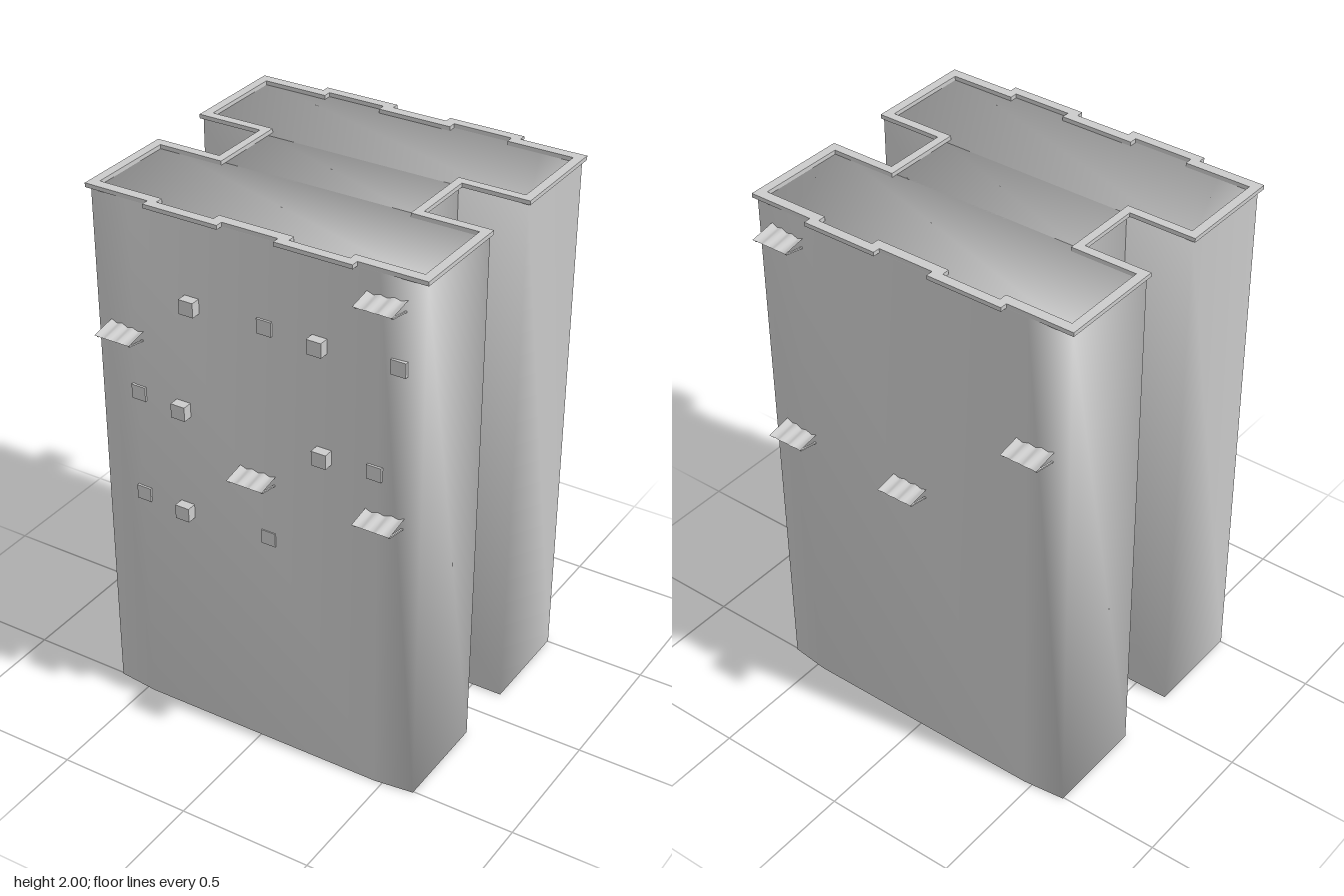
import * as THREE from 'three';
import { mergeVertices } from 'three/addons/utils/BufferGeometryUtils.js';

const ROOF = 1.985;

// Upright prism from an [x, z] plan
function prism(plan, y0, height, hole) {
  const pts = (p) => p.map(([x, z]) => new THREE.Vector2(x, -z));
  const shape = new THREE.Shape(pts(plan));
  if (hole) shape.holes.push(new THREE.Path(pts(hole)));
  const geo = new THREE.ExtrudeGeometry(shape, { depth: height, bevelEnabled: false });
  return geo.rotateX(-Math.PI / 2).translate(0, y0, 0);
}

// Share the corner vertices so shading flows round every edge
function softened(geo) {
  geo.deleteAttribute('normal');
  geo.deleteAttribute('uv');
  const merged = mergeVertices(geo, 1e-4);
  merged.computeVertexNormals();
  return merged;
}

// Slight inward lean of the +x side towards the ground
function lean(geo) {
  const p = geo.attributes.position;
  for (let i = 0; i < p.count; i++) {
    if (p.getX(i) > 0.6 && p.getY(i) < 0.1) p.setX(i, 0.615);
  }
  return geo;
}

// H-shaped outline with two shallow projections on each long side
function parapetPlan(w, end, bump, b0, b1, inner, neck) {
  const quarter = [[b0, end], [b0, bump], [b1, bump], [b1, end], [w, end], [w, inner], [neck, inner]];
  const flip = (sx, sz) => quarter.map(([x, z]) => [x * sx, z * sz]);
  return [
    ...flip(1, 1), ...flip(1, -1).reverse(),
    ...flip(-1, -1), ...flip(-1, 1).reverse(),
  ];
}

// Corrugated sheet sloping out from the wall, with two thin brackets
function makeAwning(mat, sheetMat) {
  const awning = new THREE.Group();
  const sheet = new THREE.PlaneGeometry(0.14, 0.09, 12, 1).rotateX(-Math.PI / 2);
  const p = sheet.attributes.position;
  for (let i = 0; i < p.count; i++) {
    const wave = Math.cos((p.getX(i) / 0.14 + 0.5) * Math.PI * 6);
    const out = p.getZ(i) > 0;
    p.setY(i, (out ? -0.001 : 0.017) + wave * 0.004);
    p.setZ(i, out ? 0.602 + wave * 0.005 : 0.512);
  }
  sheet.computeVertexNormals();
  const top = new THREE.Mesh(sheet, sheetMat);
  top.name = 'awningSheet';
  awning.add(top);
  for (const x of [-0.064, 0.064]) {
    const bracket = new THREE.Mesh(new THREE.BoxGeometry(0.006, 0.005, 0.085), mat);
    bracket.name = 'awningBracket';
    bracket.position.set(x, -0.011, 0.556);
    bracket.rotation.x = -0.17;
    awning.add(bracket);
  }
  return awning;
}

export function createModel() {
  const model = new THREE.Group();
  const mat = new THREE.MeshStandardMaterial({ color: 0xcccccc });
  const sheetMat = new THREE.MeshStandardMaterial({ color: 0xcccccc, side: THREE.DoubleSide });
  const add = (name, geo) => {
    const mesh = new THREE.Mesh(geo, mat);
    mesh.name = name;
    model.add(mesh);
    return mesh;
  };

  // Two wings, their outer walls bowed slightly outwards
  const wing = [[-0.625, 0.125], [-0.625, 0.505], [-0.47, 0.522], [0.47, 0.522], [0.628, 0.505], [0.628, 0.125]];
  add('frontWing', softened(lean(prism(wing, 0, ROOF))));
  const backPlan = wing.map(([x, z]) => [x, -z]).reverse();
  add('backWing', softened(lean(prism(backPlan, 0, ROOF))));

  // Connecting block between the wings
  const core = [[-0.375, -0.13], [-0.375, 0.13], [0.375, 0.13], [0.375, -0.13]];
  add('connectingBlock', softened(prism(core, 0, ROOF)));

  // Flat rim round the roof
  const outer = parapetPlan(0.638, 0.52, 0.547, 0.105, 0.39, 0.12, 0.39);
  const inner = parapetPlan(0.605, 0.483, 0.512, 0.14, 0.36, 0.153, 0.36);
  add('roofParapet', prism(outer, ROOF, 2 - ROOF, inner));

  // Wall units on the front: x, y, front face z
  const units = [
    [-0.23, 1.675, 0.558], [0.05, 1.675, 0.53], [0.255, 1.675, 0.558], [0.54, 1.675, 0.525],
    [-0.46, 1.275, 0.53], [-0.28, 1.27, 0.558], [0.27, 1.27, 0.558], [0.46, 1.27, 0.53],
    [-0.46, 0.872, 0.53], [-0.28, 0.868, 0.558], [0.05, 0.868, 0.526],
  ];
  for (const [x, y, z] of units) {
    add('wallUnit', new THREE.BoxGeometry(0.055, 0.053, 0.05)).position.set(x, y, z - 0.025);
  }

  // Awnings, the same on front and back
  for (const side of [1, -1]) {
    for (const [x, y] of [[0.495, 1.893], [-0.5, 1.497], [0.012, 1.103], [0.495, 1.103]]) {
      const awning = makeAwning(mat, sheetMat);
      awning.name = side > 0 ? 'frontAwning' : 'backAwning';
      awning.position.set(x, y, 0);
      awning.rotation.y = side > 0 ? 0 : Math.PI;
      model.add(awning);
    }
  }
  return model;
}
